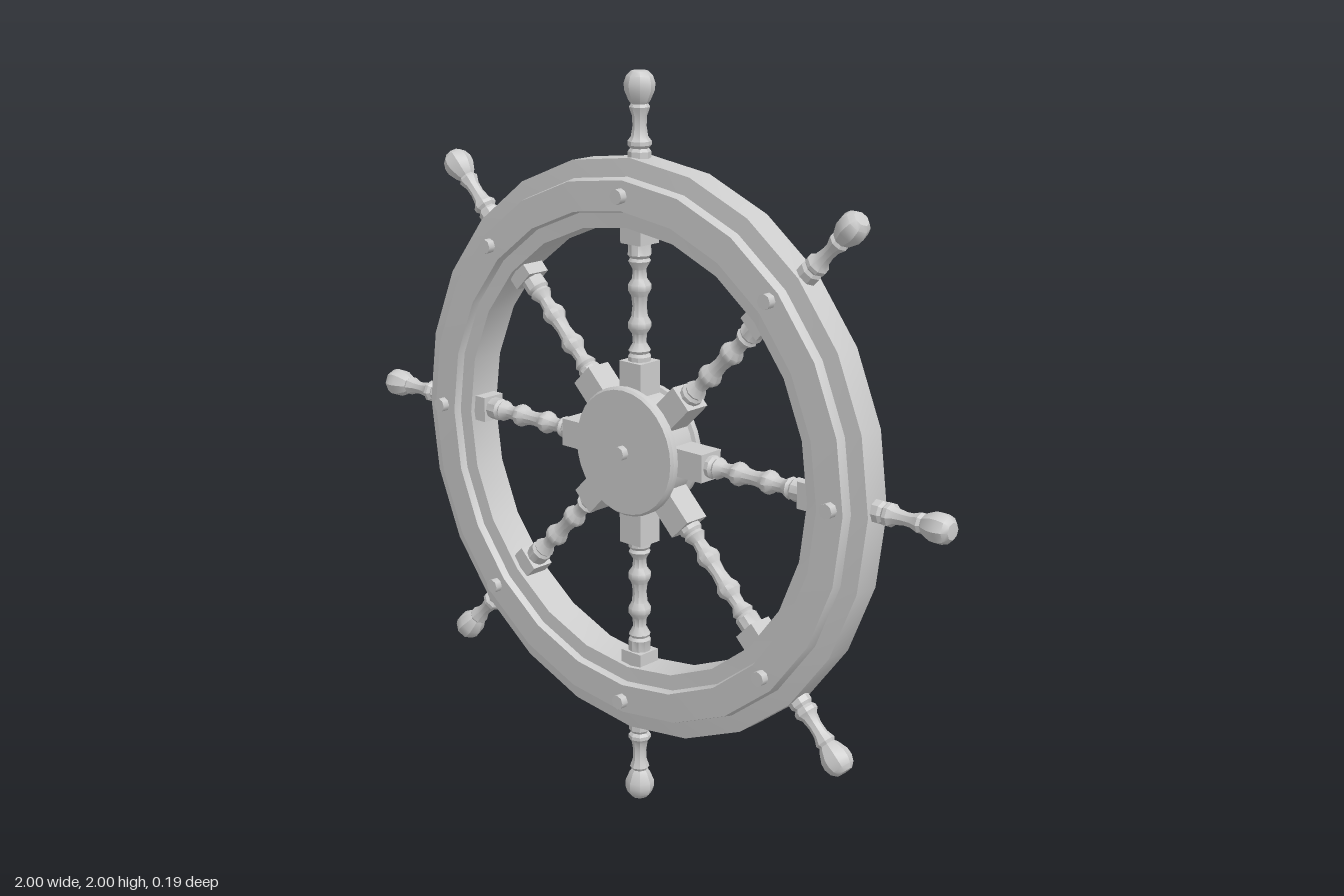
import * as THREE from 'three';
import { toCreasedNormals } from 'three/addons/utils/BufferGeometryUtils.js';

const material = new THREE.MeshStandardMaterial({ color: 0xcccccc });

// Revolve [radius, height] pairs about y
function turned(profile, sides, crease = 0.6) {
  const points = profile.map(([r, h]) => new THREE.Vector2(r, h));
  return toCreasedNormals(new THREE.LatheGeometry(points, sides), crease);
}

function add(parent, geometry, name) {
  const mesh = new THREE.Mesh(geometry, material);
  mesh.name = name;
  parent.add(mesh);
  return mesh;
}

export function createModel() {
  const wheel = new THREE.Group();
  wheel.name = 'shipWheel';

  // Rim: stepped section, mirrored front to back
  const half = [[0.78, 0.038], [0.733, 0.043], [0.727, 0.068], [0.648, 0.07], [0.643, 0.05], [0.602, 0.048]];
  const section = [
    ...half,
    ...half.slice().reverse().map(([r, h]) => [r, -h]),
    half[0],
  ];
  const rim = add(wheel, turned(section, 24).rotateX(Math.PI / 2), 'rim');
  rim.position.y = 1.003;

  // Hub: flat face in front, stepped rings behind
  const hub = new THREE.Group();
  hub.name = 'hub';
  hub.position.y = 1.012;
  wheel.add(hub);
  add(hub, turned([
    [0, -0.088], [0.064, -0.088], [0.066, -0.074], [0.1, -0.072], [0.106, -0.056],
    [0.138, -0.054], [0.142, -0.064], [0.16, -0.064], [0.166, -0.056], [0.166, -0.042],
    [0.155, -0.038], [0.155, 0.038], [0.174, 0.042], [0.174, 0.058], [0.168, 0.065], [0, 0.065],
  ], 32).rotateX(Math.PI / 2), 'hubBody');
  const hubBolt = add(hub, new THREE.CylinderGeometry(0.02, 0.02, 0.19, 8).rotateX(Math.PI / 2), 'hubBolt');
  hubBolt.position.z = -0.01;

  // Shared spoke parts, pointing along +y
  const baluster = turned([
    [0.03, 0.24], [0.031, 0.262], [0.025, 0.27], [0.03, 0.278], [0.018, 0.298], [0.02, 0.322],
    [0.031, 0.338], [0.031, 0.352], [0.022, 0.368], [0.019, 0.395], [0.022, 0.422], [0.031, 0.438],
    [0.031, 0.452], [0.02, 0.468], [0.018, 0.492], [0.03, 0.514], [0.025, 0.522], [0.031, 0.53], [0.03, 0.57],
  ], 10);
  const handle = turned([
    [0.03, 0.74], [0.03, 0.796], [0.024, 0.804], [0.031, 0.812], [0.031, 0.822], [0.022, 0.834],
    [0.018, 0.86], [0.019, 0.885], [0.027, 0.908], [0.022, 0.916], [0.028, 0.924], [0.039, 0.95],
    [0.04, 0.968], [0.034, 0.986], [0.022, 0.998], [0, 1],
  ], 8);
  const innerBlock = new THREE.BoxGeometry(0.075, 0.17, 0.075).translate(0, 0.165, 0);
  const outerBlock = new THREE.BoxGeometry(0.07, 0.1, 0.07).translate(0, 0.61, 0);
  const bolt = new THREE.CylinderGeometry(0.02, 0.02, 0.18, 8).rotateX(Math.PI / 2).translate(0, 0.69, 0);

  // Eight spokes, each with its handle and rim bolt
  for (let i = 0; i < 8; i++) {
    const spoke = new THREE.Group();
    spoke.name = 'spoke' + (i + 1);
    spoke.rotation.z = i * Math.PI / 4;
    spoke.position.y = i % 2 ? 1.008 : i % 4 ? 1.013 : 1;
    add(spoke, innerBlock, 'innerBlock');
    add(spoke, baluster, 'baluster');
    add(spoke, outerBlock, 'outerBlock');
    add(spoke, handle, 'handle');
    add(spoke, bolt, 'rimBolt');
    wheel.add(spoke);
  }

  wheel.position.z = 0.007;
  const model = new THREE.Group();
  model.name = 'model';
  model.add(wheel);
  return model;
}
